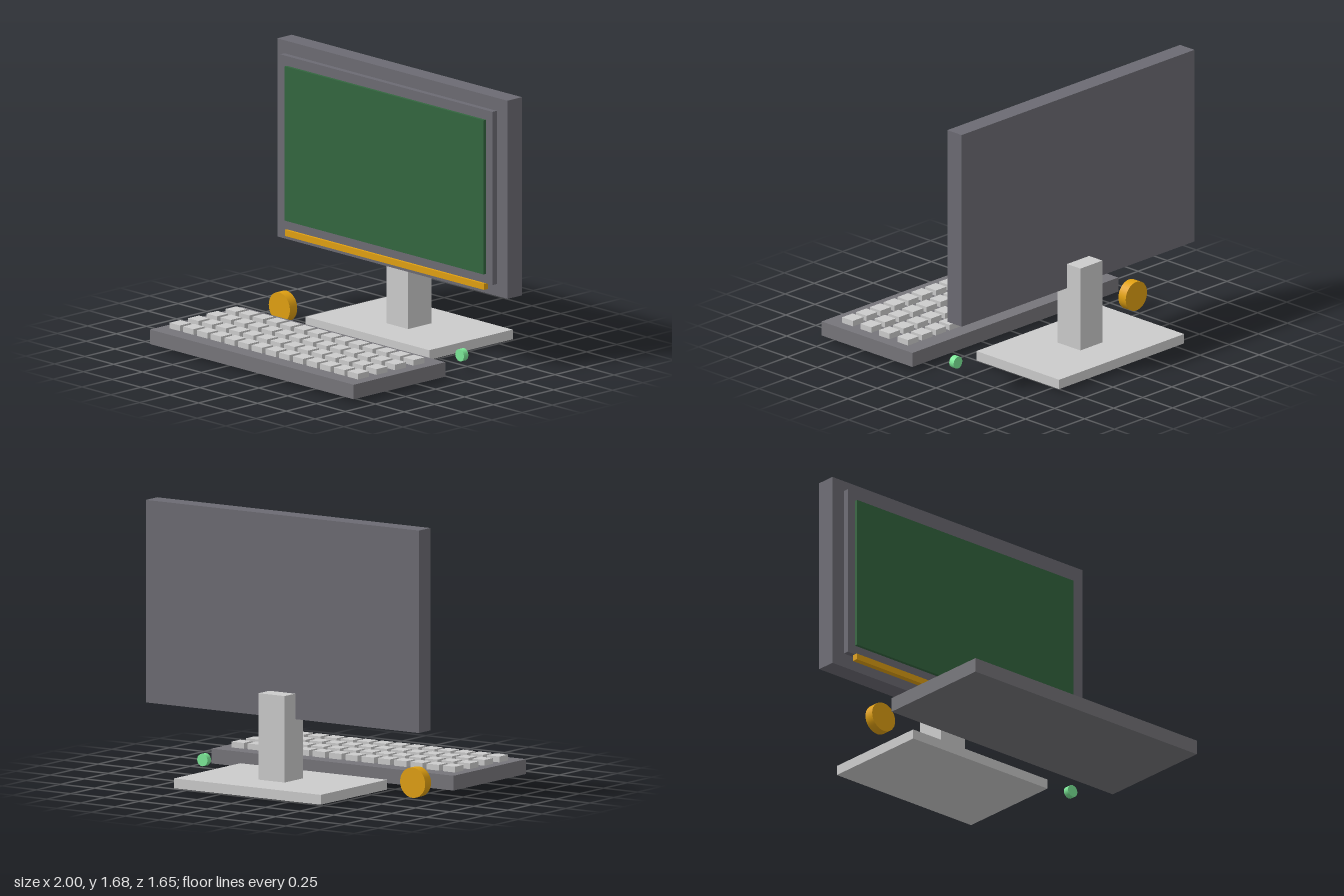
import * as THREE from 'three';

const mat = (color) => new THREE.MeshStandardMaterial({ color });

export function createModel() {
  const model = new THREE.Group();
  model.name = 'desktopComputer';

  const grey = mat(0xcccccc);
  const casing = mat(0x6c6b73);
  const keyboardGrey = mat(0x76757a);
  const amber = mat(0xe0a012);
  const screenGreen = mat(0x33663f);
  const lampGreen = mat(0x7cea98);

  // Box given by its extents along each axis
  function box(name, material, [x0, x1], [y0, y1], [z0, z1], parent = model) {
    const mesh = new THREE.Mesh(new THREE.BoxGeometry(x1 - x0, y1 - y0, z1 - z0), material);
    mesh.position.set((x0 + x1) / 2, (y0 + y1) / 2, (z0 + z1) / 2);
    mesh.name = name;
    parent.add(mesh);
  }

  // Short cylinder facing the front
  function disc(name, material, radius, x, y, [z0, z1], sides) {
    const geometry = new THREE.CylinderGeometry(radius, radius, z1 - z0, sides).rotateX(Math.PI / 2);
    const mesh = new THREE.Mesh(geometry, material);
    mesh.position.set(x, y, (z0 + z1) / 2);
    mesh.name = name;
    model.add(mesh);
  }

  // Monitor
  const monitor = new THREE.Group();
  monitor.name = 'monitor';
  model.add(monitor);
  box('monitorCase', casing, [-1, 1], [0.45, 1.68], [-0.465, -0.345], monitor);
  box('bezel', casing, [-0.922, 0.922], [0.53, 1.605], [-0.33, -0.295], monitor);
  box('screen', screenGreen, [-0.865, 0.865], [0.588, 1.545], [-0.295, -0.275], monitor);
  box('accentBar', amber, [-0.865, 0.865], [0.492, 0.53], [-0.313, -0.278], monitor);

  // Stand
  box('standBase', grey, [-0.537, 0.537], [0.02, 0.08], [-0.83, -0.138], model);
  box('standNeck', grey, [-0.095, 0.095], [0.08, 0.605], [-0.577, -0.385], model);

  // Keyboard with its grid of keys
  const keyboard = new THREE.Group();
  keyboard.name = 'keyboard';
  model.add(keyboard);
  box('keyboardBody', keyboardGrey, [-0.885, 0.885], [0.02, 0.11], [0.06, 0.82], keyboard);
  for (let row = 0; row < 4; row++) {
    for (let column = 0; column < 14; column++) {
      const x = -0.778 + column * 0.119;
      const z = 0.21 + row * 0.154;
      box('key', grey, [x - 0.045, x + 0.045], [0.105, 0.145], [z - 0.045, z + 0.045], keyboard);
    }
  }

  // Dial and indicator lamp
  disc('dial', amber, 0.092, -0.77, 0.092, [-0.203, -0.142], 32);
  disc('indicatorLamp', lampGreen, 0.038, 0.767, 0.087, [-0.207, -0.17], 16);

  return model;
}
